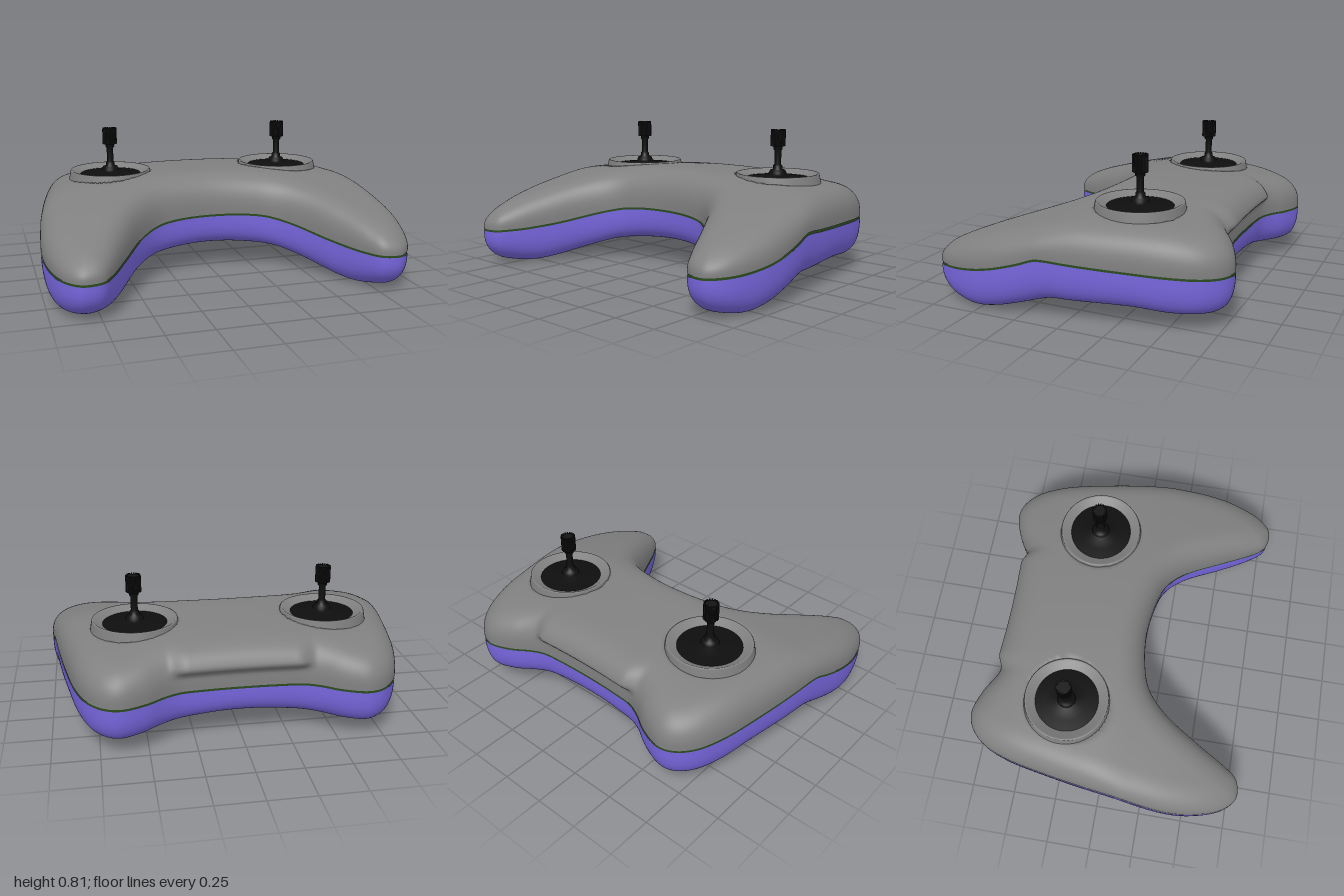
import * as THREE from 'three';

const material = (color, side = THREE.FrontSide) =>
  new THREE.MeshStandardMaterial({ color, side, roughness: 0.7 });
const table = (stops, values) => {
  const c = new THREE.CubicInterpolant(new Float32Array(stops), new Float32Array(values), 1);
  return (z) => c.evaluate(z)[0];
};
const smooth = THREE.MathUtils.smoothstep;

// Plan outline [x, z]: rear edge and front edge, from the middle to the widest point
const REAR = [[0, -0.64], [0.2, -0.645], [0.33, -0.657], [0.41, -0.69], [0.51, -0.75], [0.64, -0.79],
  [0.725, -0.765], [0.803, -0.685], [0.863, -0.54], [0.91, -0.32], [0.956, -0.03], [1, 0.38]];
const FRONT = [[0, 0.13], [0.2, 0.152], [0.34, 0.2], [0.46, 0.312], [0.585, 0.515], [0.685, 0.695],
  [0.737, 0.765], [0.792, 0.787], [0.857, 0.783], [0.926, 0.715], [0.982, 0.555]];
const mirrored = (pts) => [...pts.slice(1).reverse().map(([x, z]) => [-x, z]), ...pts];
const outline = new THREE.CatmullRomCurve3(
  [...mirrored(REAR), ...mirrored(FRONT).reverse()].map(([x, z]) => new THREE.Vector3(x, 0, z)), true);

// Heights along z: seam, crown of the top shell, belly of the bottom shell
const seam = table([-0.8, -0.4, 0, 0.08, 0.14, 0.22, 0.4, 0.6, 0.8], [0.286, 0.305, 0.324, 0.33, 0.328, 0.3, 0.25, 0.217, 0.203]);
const crown = table([-0.8, -0.7, -0.5, -0.2, 0, 0.2, 0.4, 0.6, 0.8], [0.475, 0.5, 0.542, 0.562, 0.562, 0.525, 0.478, 0.42, 0.345]);
const belly = table([-0.8, -0.6, -0.5, -0.35, 0, 0.1, 0.25, 0.4, 0.54, 0.65, 0.8],
  [0.08, 0.08, 0.085, 0.1, 0.1, 0.1, 0.06, 0.02, 0, 0.015, 0.06]);

const STICK = { x: 0.525, z: -0.238 };
const COLS = 200, ROWS = 80, GAP = 0.006;

// Grid of plan points between rear and front edge, each with its distance to the outline
function planGrid() {
  const edge = outline.getPoints(480), grid = [];
  const distance = (p) => {
    let best = Infinity;
    for (let k = 0; k < edge.length - 1; k++) {
      const a = edge[k], dx = edge[k + 1].x - a.x, dz = edge[k + 1].z - a.z;
      const t = THREE.MathUtils.clamp(((p.x - a.x) * dx + (p.z - a.z) * dz) / (dx * dx + dz * dz), 0, 1);
      best = Math.min(best, Math.hypot(p.x - a.x - t * dx, p.z - a.z - t * dz));
    }
    return best;
  };
  for (let i = 0; i <= COLS; i++) {
    const u = (Math.sin((i / COLS - 0.5) * Math.PI) + 1) / 4;
    const rear = outline.getPoint(u), front = outline.getPoint((1 - u) % 1);
    for (let j = 0; j <= ROWS; j++) {
      const p = rear.clone().lerp(front, (1 - Math.cos(Math.PI * j / ROWS)) / 2);
      const onEdge = j === 0 || j === ROWS || i === 0 || i === COLS;
      grid.push({ x: p.x, z: p.z, d: onEdge ? 0 : distance(p) });
    }
  }
  return grid;
}

// Rounded rise from 0 at the rim to 1 at the given inset
const rise = (d, radius, power) => Math.pow(1 - Math.pow(1 - Math.min(1, d / radius), power), 1 / power);

function topPoint({ x, z, d }) {
  const base = seam(z) + GAP;
  let y = base + (crown(z) - 0.08 * x * x - base) * rise(d, 0.17, 2.7);
  // overhanging lip along the rear edge
  const lip = (1 - smooth(Math.abs(x), 0.29, 0.4)) * smooth(y, 0.37, 0.43) * (1 - smooth(z, -0.62, -0.4));
  // wells under the sticks
  const r = Math.hypot(Math.abs(x) - STICK.x, z - STICK.z);
  y -= 0.07 * (1 - smooth(r, 0.2, 0.235));
  return [x, y, z - 0.058 * lip];
}

function bottomPoint({ x, z, d }) {
  const base = seam(z) - GAP;
  const low = belly(z) + 0.047 * Math.exp(-((x / 0.42) ** 2));
  return [x, base + (low - base) * rise(d, 0.14, 2.8), z];
}

function shell(grid, place, flip) {
  const index = [], n = ROWS + 1;
  for (let i = 0; i < COLS; i++) for (let j = 0; j < ROWS; j++) {
    const a = i * n + j, b = a + 1, c = a + n, d = c + 1;
    if (flip) index.push(a, c, b, b, c, d);
    else index.push(a, b, c, b, d, c);
  }
  const geo = new THREE.BufferGeometry();
  geo.setAttribute('position', new THREE.Float32BufferAttribute(grid.flatMap(place), 3));
  geo.setIndex(index);
  geo.computeVertexNormals();
  return geo;
}

// Thin band set just inside the gap between the shells
function seamBand() {
  const pos = [], index = [], n = 400;
  for (let k = 0; k <= n; k++) {
    const p = outline.getPoint((k % n) / n), t = outline.getTangent((k % n) / n);
    const x = p.x - t.z * 0.003, z = p.z + t.x * 0.003, y = seam(p.z);
    pos.push(x, y - 0.015, z, x, y + 0.015, z);
    if (k < n) index.push(2 * k, 2 * k + 1, 2 * k + 2, 2 * k + 1, 2 * k + 3, 2 * k + 2);
  }
  const geo = new THREE.BufferGeometry();
  geo.setAttribute('position', new THREE.Float32BufferAttribute(pos, 3));
  geo.setIndex(index);
  geo.computeVertexNormals();
  return geo;
}

const lathe = (pts, segments = 64) =>
  new THREE.LatheGeometry(pts.map(([r, y]) => new THREE.Vector2(r, y)), segments);

// Toothed grip: a gear outline extruded upwards
function gripGeometry() {
  const shape = new THREE.Shape(), teeth = 18;
  for (let k = 0; k < teeth * 4; k++) {
    const a = k / (teeth * 4) * Math.PI * 2, r = k % 4 < 2 ? 0.042 : 0.038;
    shape[k ? 'lineTo' : 'moveTo'](r * Math.cos(a), r * Math.sin(a));
  }
  shape.closePath();
  return new THREE.ExtrudeGeometry(shape, { depth: 0.087, bevelEnabled: false })
    .rotateX(-Math.PI / 2).translate(0, 0.715, 0);
}

export function createModel() {
  const model = new THREE.Group();
  model.name = 'controller';
  const grey = material(0x808080), greyDouble = material(0x808080, THREE.DoubleSide);
  const black = material(0x141414), blackDouble = material(0x0e0e0e, THREE.DoubleSide);
  const add = (parent, name, geo, mat) => {
    const mesh = new THREE.Mesh(geo, mat);
    mesh.name = name;
    parent.add(mesh);
    return mesh;
  };

  // Body
  const grid = planGrid();
  add(model, 'topShell', shell(grid, topPoint, false), grey);
  add(model, 'bottomShell', shell(grid, bottomPoint, true), material(0x7766dd));
  add(model, 'seamBand', seamBand(), material(0x2a4a1e, THREE.DoubleSide));

  // Control sticks
  const rim = lathe([[0.254, 0.45], [0.234, 0.56], [0.231, 0.565], [0.224, 0.565], [0.22, 0.562], [0.172, 0.537]]);
  const dome = lathe([[0.176, 0.539], [0.12, 0.546], [0.05, 0.552], [0.05, 0.565], [0.042, 0.58], [0.026, 0.587],
    [0.026, 0.605], [0.019, 0.612], [0.019, 0.69], [0.026, 0.697], [0.026, 0.715], [0.036, 0.718]]);
  const grip = gripGeometry();
  const crownTooth = new THREE.BoxGeometry(0.01, 0.01, 0.007).translate(0.036, 0.803, 0);
  for (const [side, name] of [[1, 'leftStick'], [-1, 'rightStick']]) {
    const stick = new THREE.Group();
    stick.name = name;
    stick.position.set(side * STICK.x, 0, STICK.z);
    add(stick, 'rim', rim, greyDouble);
    add(stick, 'domeAndShaft', dome, blackDouble);
    add(stick, 'grip', grip, black);
    for (let k = 0; k < 18; k++) add(stick, 'gripTooth', crownTooth, black).rotation.y = k * Math.PI / 9;
    model.add(stick);
  }
  return model;
}
